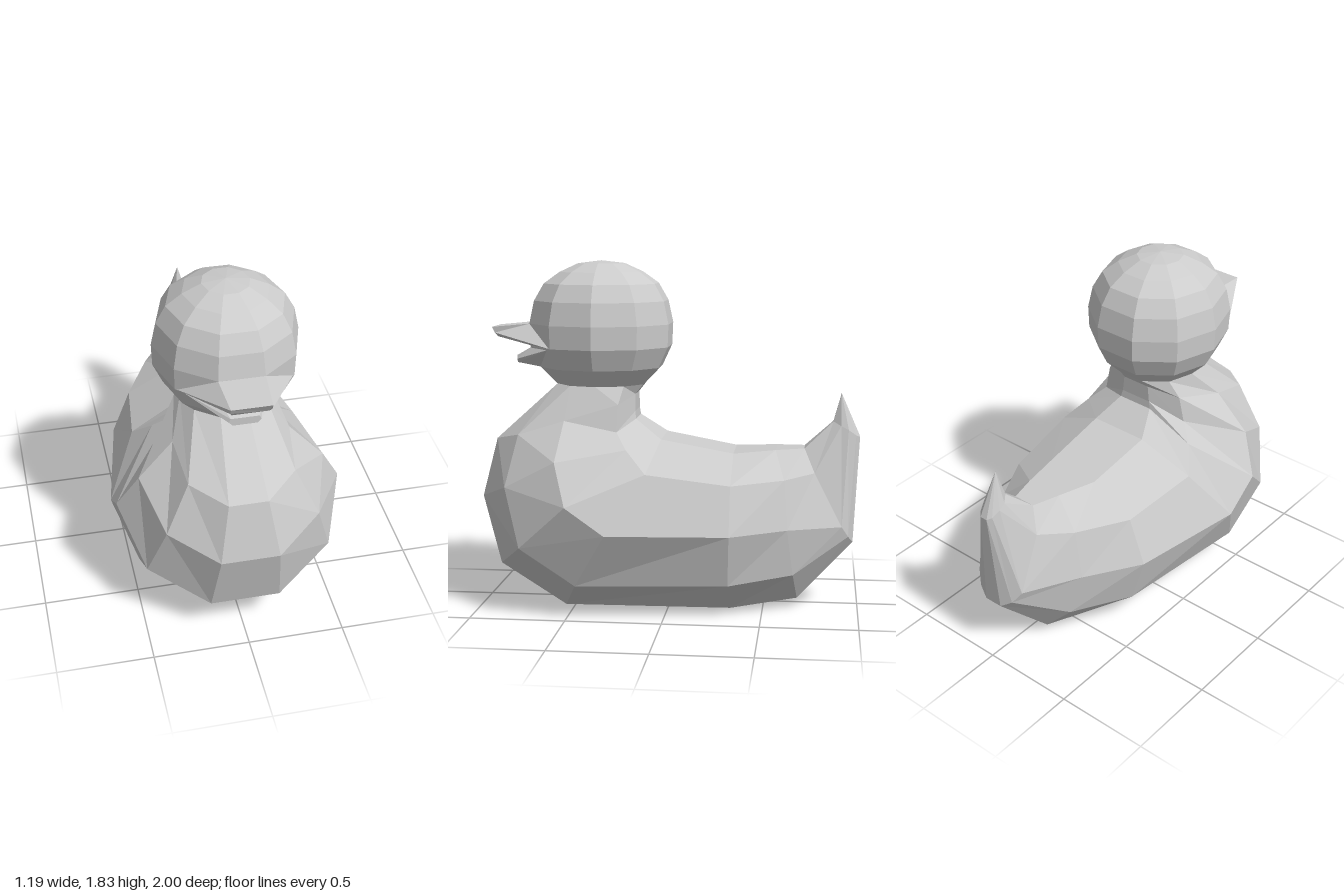
import * as THREE from 'three';

const material = new THREE.MeshStandardMaterial({ color: 0xcccccc, flatShading: true, side: THREE.DoubleSide });

// Complete a ring from its +x half by mirroring it back along -x
const mirrorRing = (half) => {
  const pts = half.map((p) => new THREE.Vector3(...p));
  const other = pts.map((p) => new THREE.Vector3(-p.x, p.y, p.z)).reverse();
  return [...pts, ...other];
};

// Skin faceted panels between successive mirrored rings, optionally closing the first
function loft(name, halves, capFirst = false) {
  const rings = halves.map(mirrorRing);
  const n = rings[0].length;
  const pos = [];
  const tri = (a, b, c) => {
    const area = b.clone().sub(a).cross(c.clone().sub(a)).length();
    if (area > 1e-7) for (const p of [a, b, c]) pos.push(p.x, p.y, p.z);
  };
  for (let i = 0; i < rings.length - 1; i++) {
    for (let j = 0; j < n; j++) {
      const k = (j + 1) % n;
      const a = rings[i][j], b = rings[i + 1][j], c = rings[i + 1][k], d = rings[i][k];
      tri(a, b, c);
      tri(a, c, d);
    }
  }
  if (capFirst) for (let j = 1; j < n - 1; j++) tri(rings[0][0], rings[0][j], rings[0][j + 1]);
  const geometry = new THREE.BufferGeometry();
  geometry.setAttribute('position', new THREE.Float32BufferAttribute(pos, 3));
  geometry.computeVertexNormals();
  const mesh = new THREE.Mesh(geometry, material);
  mesh.name = name;
  return mesh;
}

// Half of a horizontal ten-sided ring, from front to back
const headRing = (r, y) => [18, 54, 90, 126, 162].map((deg) => {
  const t = THREE.MathUtils.degToRad(deg);
  return [r * Math.sin(t), y, 0.375 + 1.05 * r * Math.cos(t)];
});

export function createModel() {
  const duck = new THREE.Group();
  duck.name = 'duck';

  // Body: rings fan from the neck round the breast, then run back to the tail tip
  duck.add(loft('body', [
    headRing(0.23, 1.18),
    [[0.1, 0.885, 0.93], [0.27, 0.93, 0.78], [0.3, 1.01, 0.53], [0.24, 1.09, 0.255], [0.08, 1.13, 0.185]],
    [[0.15, 0.58, 1], [0.39, 0.67, 0.83], [0.48, 0.82, 0.55], [0.27, 0.95, 0.26], [0.09, 1.04, 0.185]],
    [[0.18, 0.22, 0.9], [0.48, 0.37, 0.74], [0.59, 0.61, 0.48], [0.35, 0.87, 0.2], [0.1, 1, 0.18]],
    [[0.18, 0, 0.55], [0.48, 0.18, 0.45], [0.595, 0.47, 0.28], [0.44, 0.76, 0.09], [0.16, 0.9, 0.04]],
    [[0.16, 0, -0.33], [0.4, 0.18, -0.33], [0.485, 0.455, -0.34], [0.39, 0.7, -0.34], [0.15, 0.83, -0.34]],
    [[0.1, 0.05, -0.68], [0.25, 0.21, -0.66], [0.31, 0.46, -0.63], [0.25, 0.71, -0.61], [0.1, 0.845, -0.56]],
    [[0.05, 0.35, -0.97], [0.11, 0.39, -0.945], [0.15, 0.45, -0.91], [0.13, 0.73, -0.765], [0.06, 0.85, -0.71]],
    [[0.02, 0.91, -1], [0.04, 0.92, -0.98], [0.055, 0.95, -0.94], [0.05, 0.97, -0.9], [0.02, 0.99, -0.86]],
    Array(5).fill([0, 1.14, -0.9]),
  ]));

  // Head: faceted ball
  const headProfile = [[0, 1.83], [0.12, 1.815], [0.215, 1.77], [0.295, 1.71], [0.345, 1.62],
    [0.37, 1.5], [0.365, 1.38], [0.315, 1.27], [0.23, 1.18]];
  duck.add(loft('head', headProfile.map(([r, y]) => headRing(r, y))));

  // Open beak: each half runs from its tip back to the face
  duck.add(loft('upperBeak', [
    [[0.09, 1.43, 0.92], [0.1, 1.45, 0.935], [0.1, 1.48, 0.95]],
    [[0.11, 1.38, 0.72], [0.29, 1.38, 0.6], [0.115, 1.5, 0.74]],
  ], true));
  duck.add(loft('lowerBeak', [
    [[0.06, 1.29, 0.82], [0.08, 1.31, 0.82], [0.07, 1.33, 0.82]],
    [[0.1, 1.27, 0.68], [0.28, 1.38, 0.6], [0.11, 1.38, 0.73]],
  ], true));

  return duck;
}
